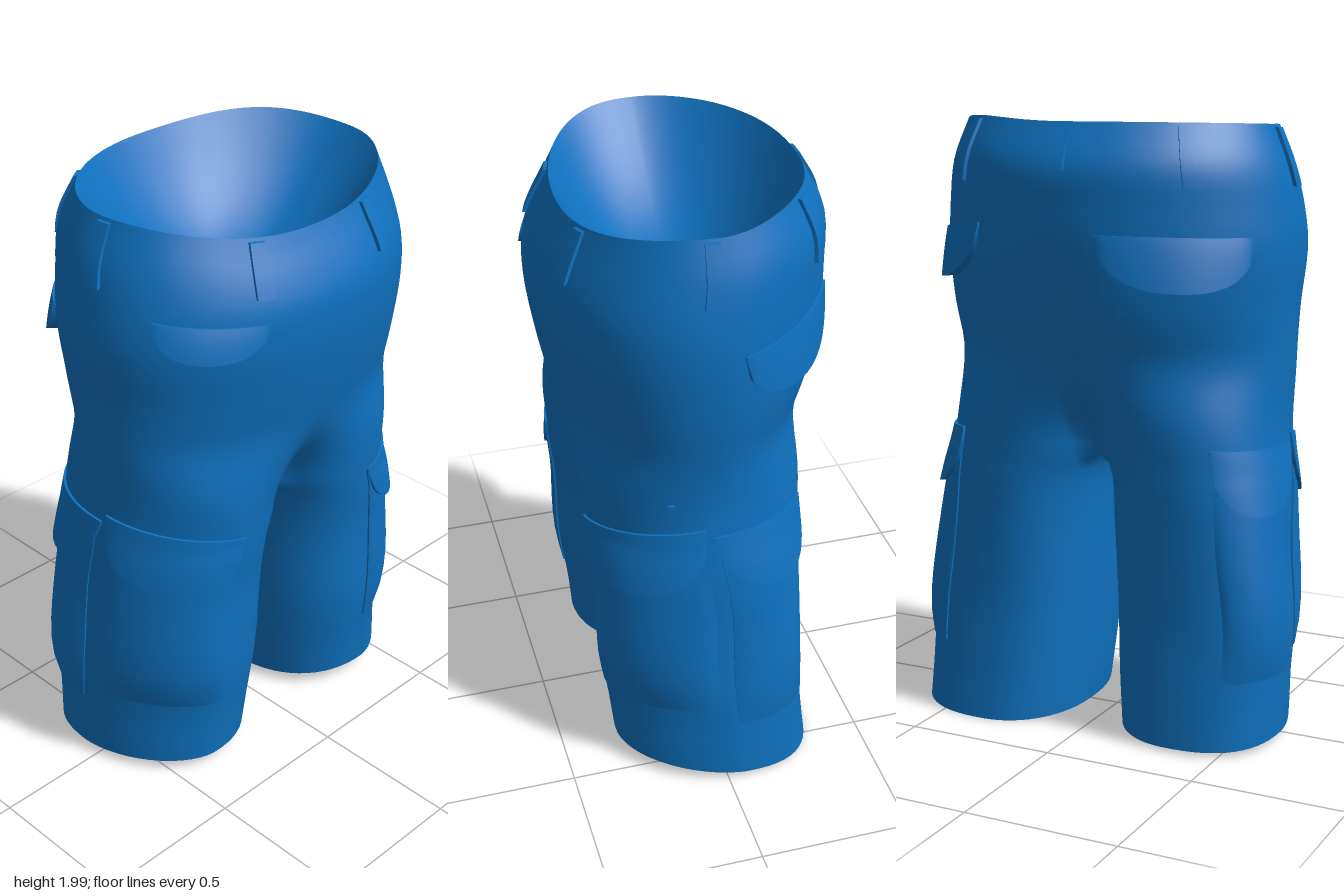
import * as THREE from 'three';
import { mergeGeometries, mergeVertices, toCreasedNormals } from 'three/addons/utils/BufferGeometryUtils.js';

const { lerp, clamp, smoothstep, degToRad } = THREE.MathUtils;
const CROTCH = 0.92, HEM = 0.035, WAIST = 1.975;
const spow = (v, e) => Math.sign(v) * Math.abs(v) ** e;

// Per side: height -> outer x, inner x, front z, back z
const profile = (rows) => new THREE.CubicInterpolant(rows.map(r => r[0]), rows.flatMap(r => r.slice(1)), 4);
const profiles = {
  1: profile([
    [0.035, 0.65, 0.075, 0.32, -0.335], [0.2, 0.635, 0.06, 0.335, -0.315], [0.4, 0.625, 0.05, 0.36, -0.3],
    [0.7, 0.59, 0.045, 0.365, -0.3], [0.86, 0.57, 0.025, 0.38, -0.305], [0.92, 0.562, 0, 0.383, -0.305],
    [1.05, 0.555, 0, 0.387, -0.31], [1.2, 0.562, 0, 0.405, -0.335], [1.4, 0.588, 0, 0.447, -0.4],
    [1.6, 0.598, 0, 0.476, -0.428], [1.72, 0.59, 0, 0.472, -0.432], [1.85, 0.565, 0, 0.437, -0.428],
    [1.975, 0.522, 0, 0.382, -0.36]]),
  [-1]: profile([
    [0.035, 0.62, 0.075, 0.31, -0.325], [0.2, 0.62, 0.06, 0.325, -0.315], [0.4, 0.635, 0.045, 0.35, -0.3],
    [0.7, 0.61, 0.03, 0.36, -0.3], [0.86, 0.595, 0.02, 0.38, -0.305], [0.92, 0.59, 0, 0.383, -0.305],
    [1.05, 0.585, 0, 0.387, -0.31], [1.2, 0.59, 0, 0.405, -0.335], [1.4, 0.6, 0, 0.447, -0.4],
    [1.6, 0.618, 0, 0.476, -0.428], [1.72, 0.605, 0, 0.472, -0.432], [1.85, 0.578, 0, 0.437, -0.428],
    [1.975, 0.527, 0, 0.382, -0.36]]),
};

// Cloth surface. u 0..1 runs front centre -> outside -> back centre, 1..2 runs along the inseam.
function cloth(side, u, y) {
  const [o, inner, f, b] = profiles[side].evaluate(y);
  const i = Math.max(0, inner), cz = (f + b) / 2;
  const leg = degToRad(u <= 1 ? -60 + 300 * u : 240 + 60 * (u - 1));
  const hip = Math.PI * Math.min(u, 1), c = Math.cos(hip);
  const ls = Math.sin(leg), lc = Math.cos(leg);
  const k = 1 - smoothstep(y, 0.9, 1.3);
  const rz = (f - b) / 2 * (1 + 0.32 * k * (1 - k));
  // legs are rounder at the front outer corner and lean backwards on the outside
  const e = ls > 0 && lc > 0 ? 1.1 : 0.88;
  let x = lerp(o * spow(Math.sin(hip), 0.94), (o + i) / 2 + (o - i) / 2 * spow(ls, e), k);
  let z = cz + rz * lerp(spow(c, c > 0 ? 0.88 : 1.1), spow(lc, e), k);
  z -= 0.05 * k * Math.max(0, ls) ** 2 * (1 - smoothstep(y, 0.6, 1.1));
  if (y > CROTCH - 1e-4 && (u <= 0 || u >= 1)) x = 0;
  // cleft of the seat, soft folds on the legs, dipped front waist, tilted hems
  if (c < 0) z += 0.03 * Math.exp(-((x / 0.09) ** 2)) * smoothstep(y, 1.0, 1.25) * (1 - smoothstep(y, 1.35, 1.7));
  x += 0.006 * Math.sin(9 * y + 5 * z) * smoothstep(x, 0.1, 0.4) * k;
  const backRise = 0.01 * Math.abs(c) + (side > 0 ? 0.018 : 0) * Math.sin(2 * hip) ** 2;
  const dy = (c > 0 ? -0.075 * c ** 2.3 : backRise) * smoothstep(y, 1.6, WAIST)
    + lc * (side > 0 ? 0.025 : 0.012) * (1 - smoothstep(y, HEM, 0.3));
  return new THREE.Vector3(side * x, y + dy, z);
}

// Same surface pushed outward
function raised(side, u, y, offset) {
  const p = cloth(side, u, y);
  const a = cloth(side, Math.max(0.001, u - 0.01), y), b = cloth(side, Math.min(0.999, u + 0.01), y);
  const n = new THREE.Vector3(-(b.z - a.z) * side, 0, (b.x - a.x) * side).normalize();
  return p.addScaledVector(n, offset);
}

// Grid of quads from a point function of column and row
function grid(nu, nv, fn, flip) {
  const pos = [], idx = [];
  for (let j = 0; j <= nv; j++) for (let i = 0; i <= nu; i++) pos.push(...fn(i, j).toArray());
  for (let j = 0; j < nv; j++) for (let i = 0; i < nu; i++) {
    const a = j * (nu + 1) + i, b = a + 1, c = a + nu + 1, d = c + 1;
    idx.push(...(flip ? [a, c, b, b, c, d] : [a, b, c, b, d, c]));
  }
  const g = new THREE.BufferGeometry();
  g.setAttribute('position', new THREE.Float32BufferAttribute(pos, 3));
  g.setIndex(idx);
  return g;
}

function smooth(parts) {
  const g = mergeVertices(mergeGeometries(parts), 1e-4);
  g.computeVertexNormals();
  return g;
}

// Rounded bowl closing a loop of points
function bowl(loop, depth, flip) {
  const centre = loop.reduce((s, p) => s.add(p), new THREE.Vector3()).divideScalar(loop.length);
  return smooth([grid(loop.length, 12, (i, j) => {
    const t = j / 12, p = loop[i % loop.length].clone().lerp(centre, t);
    p.y += depth * (1 - (1 - t) ** 2);
    return p;
  }, flip)]);
}

// Sewn-on piece with tucked edges. Flaps have a curved, flared lower edge; bags swell softly from the cloth.
function patch(side, { a, top, depth, lip, flare = 0, flap = false, n = 22, m = 12 }) {
  const g = grid(n, m, (i, j) => {
    const u = clamp((i - 1) / (n - 2), 0, 1), v = clamp((j - 1) / (m - 2), 0, 1);
    const edge = i === 0 || i === n || j === 0 || j === m;
    const h = flap ? depth * (0.06 + 0.94 * Math.sqrt(1 - Math.abs(2 * u - 1) ** 2.4)) : depth;
    const y = lerp(top[0], top[1], u) - v * h;
    const puff = flare * Math.sin(Math.PI * u) ** 0.6 * (flap ? v : Math.sin(Math.PI * v ** 1.6) ** 0.7);
    return raised(side, lerp(a[0], a[1], u), y, edge ? -0.006 : lip + puff);
  }, side > 0);
  return toCreasedNormals(g, 0.7);
}

export function createModel() {
  const group = new THREE.Group();
  const material = new THREE.MeshStandardMaterial({ color: 0x0e70bd, side: THREE.DoubleSide });
  const add = (name, geometry) => {
    const mesh = new THREE.Mesh(geometry, material);
    mesh.name = name;
    group.add(mesh);
  };
  const N = 48, IN = 14, LOW = 26, UP = 32;

  // Seat and legs
  const shell = [];
  for (const s of [1, -1]) {
    shell.push(grid(N, UP, (i, j) => cloth(s, i / N, lerp(CROTCH, WAIST, j / UP)), s < 0));
    shell.push(grid(N, LOW, (i, j) => cloth(s, i / N, lerp(HEM, CROTCH, j / LOW)), s < 0));
    shell.push(grid(IN, LOW, (i, j) => {
      const p = cloth(s, 1 + i / IN, lerp(HEM, CROTCH, j / LOW));
      if (j === LOW) p.x = 0;
      return p;
    }, s < 0));
  }
  add('shortsBody', smooth(shell));

  // Inner lining at the waist and the leg openings
  const waist = Array.from({ length: 2 * N }, (_, i) => (i < N ? cloth(1, i / N, WAIST) : cloth(-1, 2 - i / N, WAIST)));
  add('waistLining', bowl(waist, -0.33, false));
  for (const s of [1, -1]) {
    const hem = Array.from({ length: N + IN }, (_, i) => cloth(s, i < N ? i / N : 1 + (i - N) / IN, HEM));
    add(s > 0 ? 'leftLegLining' : 'rightLegLining', bowl(hem, 0.27, s > 0));
  }

  for (const s of [1, -1]) {
    const side = s > 0 ? 'left' : 'right';
    // Cargo pockets: one towards the front, one towards the back
    add(side + 'FrontCargoBag', patch(s, { a: [0.2, 0.465], top: [0.92, 0.95], depth: 0.64, lip: 0.005, flare: 0.022 }));
    add(side + 'FrontCargoFlap', patch(s, { a: [0.2, 0.48], top: [0.93, 1.0], depth: 0.2, lip: 0.008, flare: s > 0 ? 0.028 : 0.02, flap: true }));
    add(side + 'BackCargoBag', patch(s, { a: [0.5, 0.7], top: [0.95, 0.95], depth: 0.7, lip: 0.005, flare: 0.024 }));
    add(side + 'BackCargoFlap', patch(s, { a: [0.49, 0.71], top: [0.97, 0.99], depth: 0.2, lip: 0.008, flare: 0.028, flap: true }));
    // Seat pocket flap
    add(side + 'SeatPocketFlap', patch(s, {
      a: s > 0 ? [0.55, 0.84] : [0.66, 0.94], top: s > 0 ? [1.62, 1.67] : [1.64, 1.65],
      depth: 0.165, lip: 0.008, flare: s > 0 ? 0.03 : 0.05, flap: true }));
    // Belt loops
    for (const [k, c] of [0.135, 0.475, 0.77].entries())
      add(`${side}BeltLoop${k + 1}`, patch(s, { a: [c - 0.016, c + 0.016], top: [1.965, 1.965], depth: 0.18, lip: 0.012, n: 6, m: 8 }));
    // Back centre loop, one half per side
    add(side + 'BackBeltLoop', patch(s, { a: [0.985, 1], top: [1.965, 1.965], depth: 0.13, lip: 0.012, n: 6, m: 8 }));
  }

  // Front hand pocket and small side tab
  add('rightHandPocket', patch(-1, { a: [0.13, 0.35], top: [1.69, 1.72], depth: 0.11, lip: 0.005, flare: 0.025, flap: true }));
  add('sideTab', patch(1, { a: [0.412, 0.424], top: [1.095, 1.095], depth: 0.05, lip: 0.01, n: 4, m: 4 }));
  return group;
}
